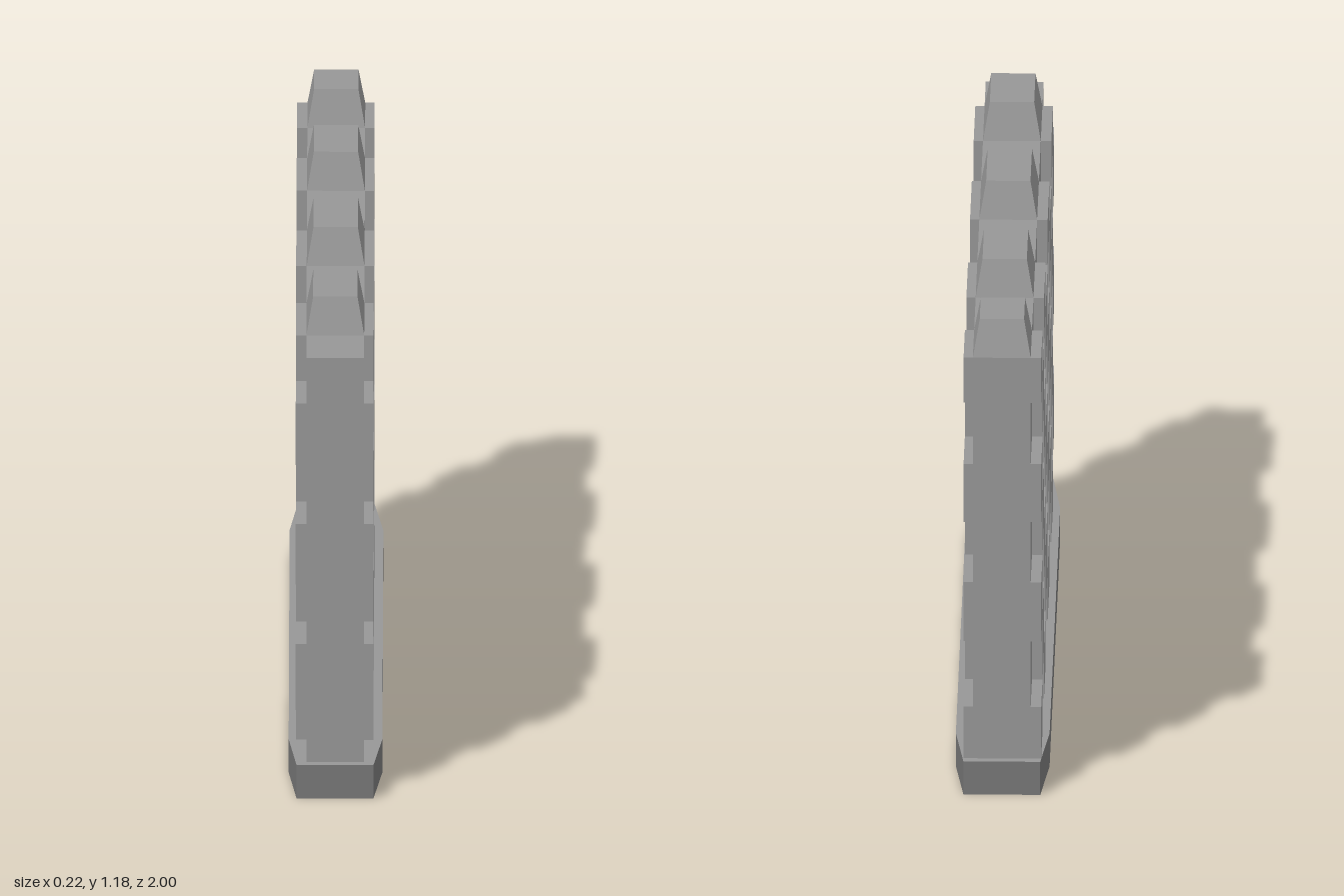
import * as THREE from 'three';

const stoneGrey = new THREE.MeshStandardMaterial({ color: 0x969696, flatShading: true });
const darkGrey = new THREE.MeshStandardMaterial({ color: 0x767676, flatShading: true });

// Column edges from front to back, course edges from bottom to top
const columns = [0.977, 0.805, 0.557, 0.273, 0, -0.303, -0.553, -0.782, -0.977];
const courses = [0.083, 0.213, 0.377, 0.526, 0.677, 0.823, 0.977, 1.09];
const coreLeft = 0.068, coreRight = -0.069;
const stoneLeft = 0.09, stoneRight = -0.094;
const merlonTop = 1.18;

// Box given by its limits on each axis
function boxBetween(name, x0, x1, y0, y1, z0, z1) {
  const geometry = new THREE.BoxGeometry(x1 - x0, y1 - y0, z1 - z0);
  geometry.translate((x0 + x1) / 2, (y0 + y1) / 2, (z0 + z1) / 2);
  const mesh = new THREE.Mesh(geometry, stoneGrey);
  mesh.name = name;
  return mesh;
}

// Plinth with tapered ends and darker sides
function createPlinth() {
  const plan = new THREE.Shape([
    [-0.092, -1], [0.09, -1], [0.111, -0.8], [0.111, 0.8],
    [0.09, 1], [-0.092, 1], [-0.111, 0.8], [-0.111, -0.8],
  ].map(([x, z]) => new THREE.Vector2(x, z)));
  const geometry = new THREE.ExtrudeGeometry(plan, { depth: courses[0], bevelEnabled: false });
  geometry.rotateX(-Math.PI / 2);
  const mesh = new THREE.Mesh(geometry, [stoneGrey, darkGrey]);
  mesh.name = 'plinth';
  return mesh;
}

// Merlon: a box whose top is drawn in on all four sides
function createMerlon(zBack, zFront) {
  const mesh = boxBetween('merlon', coreRight, coreLeft, courses.at(-1), merlonTop, zBack, zFront);
  const p = mesh.geometry.attributes.position;
  const xMid = (coreLeft + coreRight) / 2, zMid = (zBack + zFront) / 2;
  for (let i = 0; i < p.count; i++) {
    if (p.getY(i) < merlonTop - 0.01) continue;
    p.setX(i, p.getX(i) - Math.sign(p.getX(i) - xMid) * 0.016);
    p.setZ(i, p.getZ(i) - Math.sign(p.getZ(i) - zMid) * 0.022);
  }
  mesh.geometry.computeVertexNormals();
  return mesh;
}

export function createModel() {
  const wall = new THREE.Group();
  wall.name = 'battlementWall';
  wall.add(createPlinth());
  wall.add(boxBetween('wallCore', coreRight, coreLeft, courses[0], courses.at(-1), columns.at(-1), columns[0]));

  // Raised stones in a checkerboard on both faces
  const stones = new THREE.Group();
  stones.name = 'raisedStones';
  for (let c = 0; c < columns.length - 1; c++) {
    for (let r = 0; r < courses.length - 1; r++) {
      if ((c + r) % 2 === 0) continue;
      const limits = [courses[r], courses[r + 1], columns[c + 1], columns[c]];
      stones.add(boxBetween('leftStone', coreLeft, stoneLeft, ...limits));
      stones.add(boxBetween('rightStone', stoneRight, coreRight, ...limits));
    }
  }
  wall.add(stones);

  // Merlons on every second column
  const merlons = new THREE.Group();
  merlons.name = 'merlons';
  for (let c = 1; c < columns.length - 1; c += 2) merlons.add(createMerlon(columns[c + 1], columns[c]));
  wall.add(merlons);
  return wall;
}
